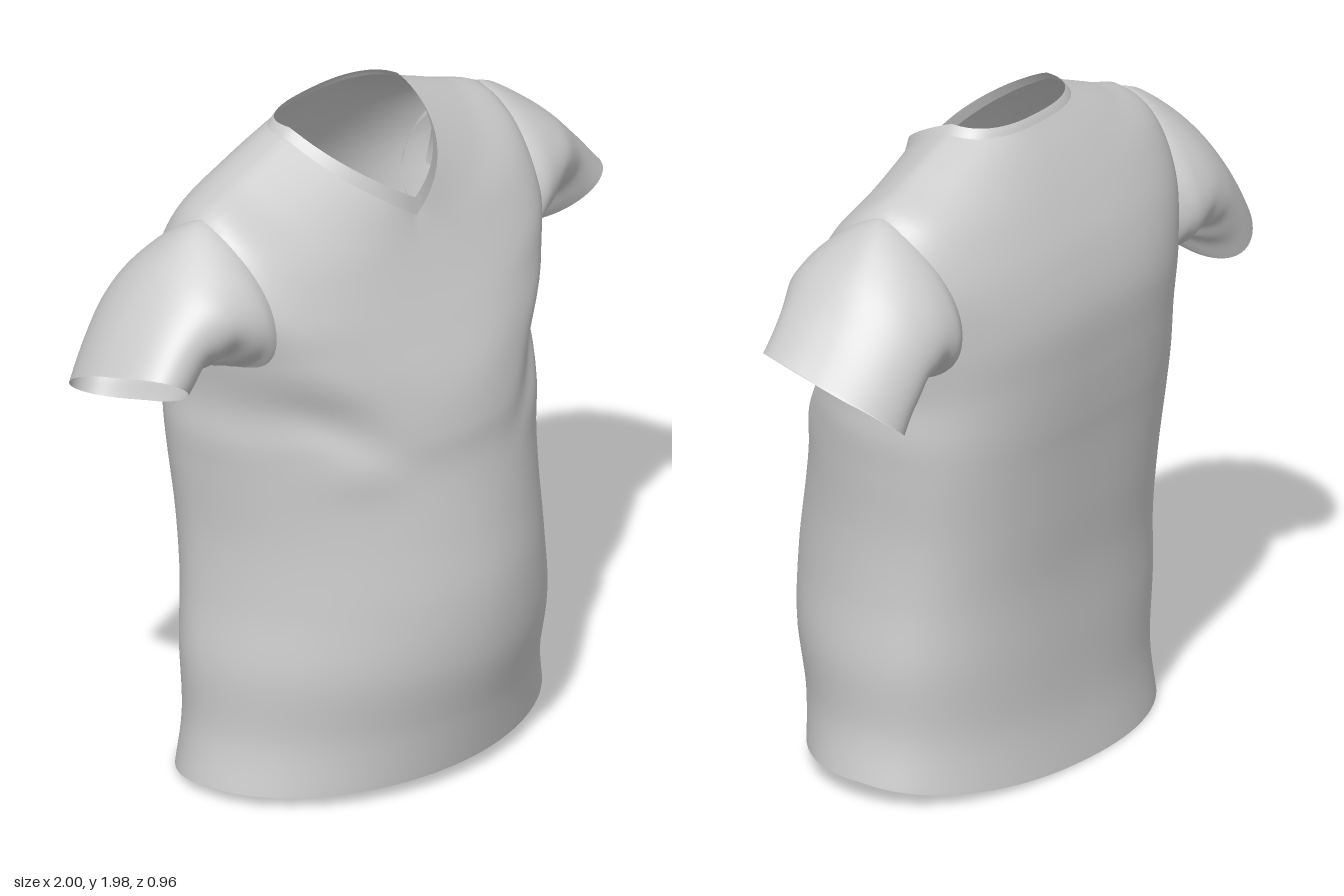
import * as THREE from 'three';

const SEG = 96;
const material = new THREE.MeshStandardMaterial({ color: 0xcccccc, side: THREE.DoubleSide });

// Smooth interpolation through rows of ring parameters
function sampleRows(rows, steps) {
  const out = [];
  const n = rows.length - 1;
  for (let s = 0; s <= n * steps; s++) {
    const i = Math.min(Math.floor(s / steps), n - 1);
    const t = s / steps - i;
    const [a, b, c, d] = [rows[Math.max(i - 1, 0)], rows[i], rows[i + 1], rows[Math.min(i + 2, n)]];
    out.push(b.map((v, k) => v + 0.5 * t * (c[k] - a[k]
      + t * (2 * a[k] - 5 * v + 4 * c[k] - d[k] + t * (3 * (v - c[k]) + d[k] - a[k])))));
  }
  return out;
}

// Skin a list of rings, each turned into points by pointAt(row, angle); isHole leaves faces out
function loft(rows, pointAt, flip, isHole = () => false) {
  const pos = [], index = [];
  rows.forEach((row, r) => {
    for (let j = 0; j < SEG; j++) {
      const p = pointAt(row, (j / SEG) * Math.PI * 2, r / (rows.length - 1));
      pos.push(...p);
      if (r === rows.length - 1 || isHole(p)) continue;
      const a = r * SEG + j, b = r * SEG + (j + 1) % SEG, c = a + SEG, d = b + SEG;
      if (flip) index.push(a, b, c, b, d, c);
      else index.push(a, c, b, b, c, d);
    }
  });
  const geo = new THREE.BufferGeometry();
  geo.setAttribute('position', new THREE.Float32BufferAttribute(pos, 3));
  geo.setIndex(index);
  geo.computeVertexNormals();
  return geo;
}

const bell = (d, r) => Math.exp(-((d / r) ** 2));

// Torso ring: half width, front z, back z, middle z, side y, front y, back y,
// squareness of front and back, V shape
function torsoPoint([w, zf, zb, zc, ys, yf, yb, nf, nb, vee], a) {
  const c = Math.cos(a), s = Math.sin(a), k = Math.abs(s);
  const e = 2 / (s > 0 ? nf : nb);
  const x = w * Math.sign(c) * Math.abs(c) ** e;
  let z = zc + ((s > 0 ? zf : zb) - zc) * k ** e;
  const lin = (Math.asin(Math.min(k, 1)) / (Math.PI / 2)) ** 1.2;
  const m = s > 0 ? k + (lin - k) * vee : k;
  let y = ys + ((s > 0 ? yf : yb) - ys) * m;
  y += 0.022 * x * Math.max(0, 1 - y / 0.4);
  if (s > 0) {
    // fold running from the armpit down across the chest, hollow beneath it
    const ax = Math.abs(x), d = y - (1.13 + 0.7 * (ax - 0.25));
    z += k * bell(ax - 0.43, 0.16) * (0.01 * bell(d - 0.06, 0.08) - 0.025 * bell(d + 0.06, 0.07));
    z += k * 0.015 * bell(ax - 0.4, 0.14) * bell(y - 1.04, 0.08);
  }
  return [x, y, z];
}

const torsoRows = [
  [0.645, 0.40, -0.415, -0.06, 0.05, 0.045, 0.005, 1.95, 2.2, 0],
  [0.615, 0.43, -0.395, -0.06, 0.2, 0.2, 0.18, 1.9, 2.3, 0],
  [0.615, 0.475, -0.395, -0.07, 0.4, 0.4, 0.4, 1.9, 2.4, 0],
  [0.593, 0.48, -0.40, -0.08, 0.6, 0.6, 0.6, 1.9, 2.5, 0],
  [0.585, 0.45, -0.42, -0.09, 0.8, 0.8, 0.8, 1.95, 2.6, 0],
  [0.597, 0.415, -0.44, -0.1, 1.0, 1.0, 1.0, 2.0, 2.7, 0],
  [0.605, 0.405, -0.455, -0.1, 1.12, 1.12, 1.12, 2.0, 2.7, 0],
  [0.60, 0.375, -0.468, -0.11, 1.25, 1.25, 1.27, 2.2, 2.7, 0],
  [0.625, 0.31, -0.472, -0.11, 1.42, 1.4, 1.44, 2.9, 2.7, 0],
  [0.655, 0.265, -0.435, -0.11, 1.64, 1.5, 1.6, 3.1, 2.7, 0],
  [0.61, 0.225, -0.375, -0.1, 1.815, 1.595, 1.74, 2.7, 2.6, 0.1],
  [0.45, 0.2, -0.31, -0.1, 1.885, 1.655, 1.86, 2.2, 2.5, 0.5],
  [0.26, 0.18, -0.25, -0.1, 1.96, 1.705, 1.95, 2.0, 2.5, 0.9],
];
const collarRows = [
  torsoRows[12],
  [0.249, 0.177, -0.244, -0.1, 1.973, 1.732, 1.964, 2.0, 2.5, 0.9],
  [0.238, 0.174, -0.238, -0.1, 1.985, 1.76, 1.975, 2.0, 2.5, 0.9],
];

// Opening in the body behind each sleeve
const armhole = ([x, y, z]) =>
  Math.abs(x) > 0.5 && ((z + 0.12) / 0.19) ** 2 + ((y - 1.54) / 0.18) ** 2 < 1;

// Sleeve ring: top x, top y, bottom x, bottom y, front z, back z, roundness of top
const sleeveRows = [
  [0.53, 1.79, 0.55, 1.31, 0.14, -0.35, 0.65],
  [0.63, 1.815, 0.60, 1.35, 0.155, -0.385, 0.65],
  [0.78, 1.715, 0.67, 1.40, 0.125, -0.385, 0.8],
  [0.90, 1.58, 0.73, 1.37, 0.085, -0.375, 0.95],
  [1.0, 1.45, 0.785, 1.295, 0.08, -0.365, 1],
];

function sleevePoint(side) {
  return ([tx, ty, bx, by, zf, zb, round], a, v) => {
    const s = Math.sin(a);
    const u = ((1 - Math.cos(a)) / 2) ** round;
    const z = (zf + zb) / 2 + ((zf - zb) / 2) * Math.sign(s) * Math.abs(s) ** 0.9;
    // creases gather under the arm; the back of the cuff hangs lower
    const fold = 0.012 * Math.sin(v * 26 + z * 8) * u * u * Math.sin(Math.PI * v);
    const droop = v * 0.075 * s;
    return [side * (tx + (bx - tx) * u + droop * 0.25), ty + (by - ty) * u + fold + droop, z];
  };
}

export function createModel() {
  const group = new THREE.Group();
  const add = (name, geo) => {
    const mesh = new THREE.Mesh(geo, material);
    mesh.name = name;
    group.add(mesh);
  };
  add('shirtBody', loft(sampleRows(torsoRows, 8), torsoPoint, false, armhole));
  add('neckBand', loft(sampleRows(collarRows, 3), torsoPoint, false));
  for (const side of [1, -1]) {
    add(side > 0 ? 'leftSleeve' : 'rightSleeve',
      loft(sampleRows(sleeveRows, 8), sleevePoint(side), side > 0));
  }
  return group;
}
